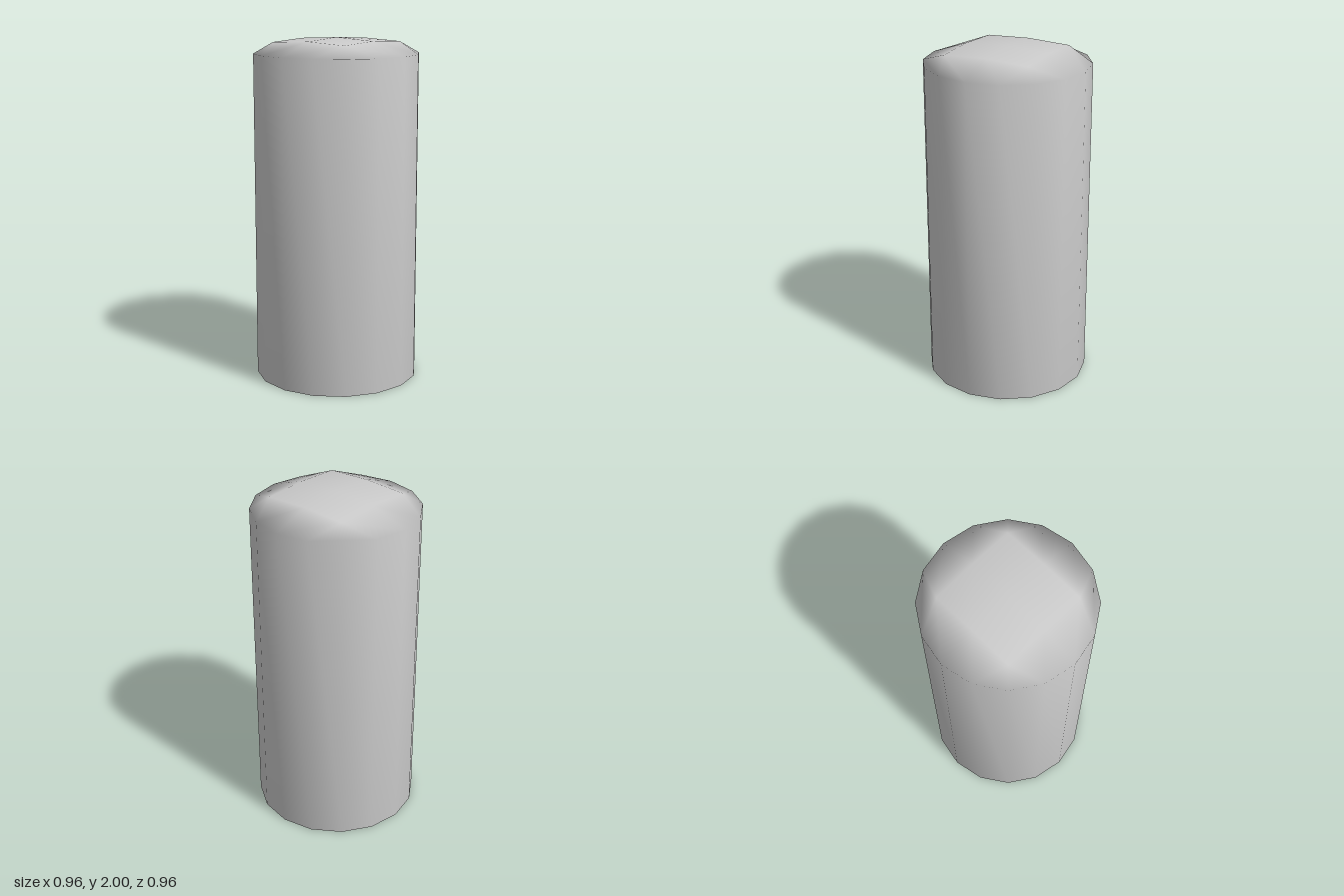
import * as THREE from 'three';
import { mergeGeometries, mergeVertices } from 'three/addons/utils/BufferGeometryUtils.js';

const SIDES = 16;

// Domed cap: a 4 x 4 grid whose border is bent onto a 16-sided circle
function domedCap(radius, rimY, rise, faceDown) {
  const geo = new THREE.PlaneGeometry(4, 4, 4, 4).rotateX(-Math.PI / 2);
  const pos = geo.attributes.position;
  for (let n = 0; n < pos.count; n++) {
    const i = Math.round(pos.getX(n));
    const j = Math.round(pos.getZ(n));
    const ring = Math.max(Math.abs(i), Math.abs(j));
    if (ring === 2) {
      const alongX = Math.abs(i) >= Math.abs(j);
      const [major, minor] = alongX ? [i, j] : [j, i];
      const angle = (Math.PI / 4) * (minor / major);
      const a = Math.sign(major) * radius * Math.cos(angle);
      const b = Math.sign(major) * radius * Math.sin(angle);
      pos.setXYZ(n, alongX ? a : b, rimY, alongX ? b : a);
    } else {
      const drop = ring === 0 ? 0 : Math.abs(i * j) === 1 ? 0.28 : 0.15;
      pos.setXYZ(n, i * radius * 0.54, rimY + rise * (1 - drop), j * radius * 0.54);
    }
  }
  if (faceDown) geo.index.array.reverse();
  return geo;
}

export function createModel() {
  const group = new THREE.Group();
  group.name = 'domedCylinder';

  // Wall: recess wall, small lip, sloping underside, then the outer side
  const profile = [
    [0.33, 0.35], [0.33, 0.13], [0.345, 0.11], [0.48, 0], [0.48, 1.91],
  ].map(([r, y]) => new THREE.Vector2(r, y));
  const wall = new THREE.LatheGeometry(profile, SIDES);

  // Top dome and the ceiling of the recess
  const parts = [wall, domedCap(0.48, 1.91, 0.09, false), domedCap(0.33, 0.35, 0.03, true)];

  // Weld everything so the shading runs smoothly over all edges
  for (const part of parts) {
    part.deleteAttribute('uv');
    part.deleteAttribute('normal');
  }
  const geometry = mergeVertices(mergeGeometries(parts), 1e-4);
  geometry.computeVertexNormals();

  const body = new THREE.Mesh(geometry, new THREE.MeshStandardMaterial({ color: 0xcccccc }));
  body.name = 'body';
  group.add(body);
  return group;
}
